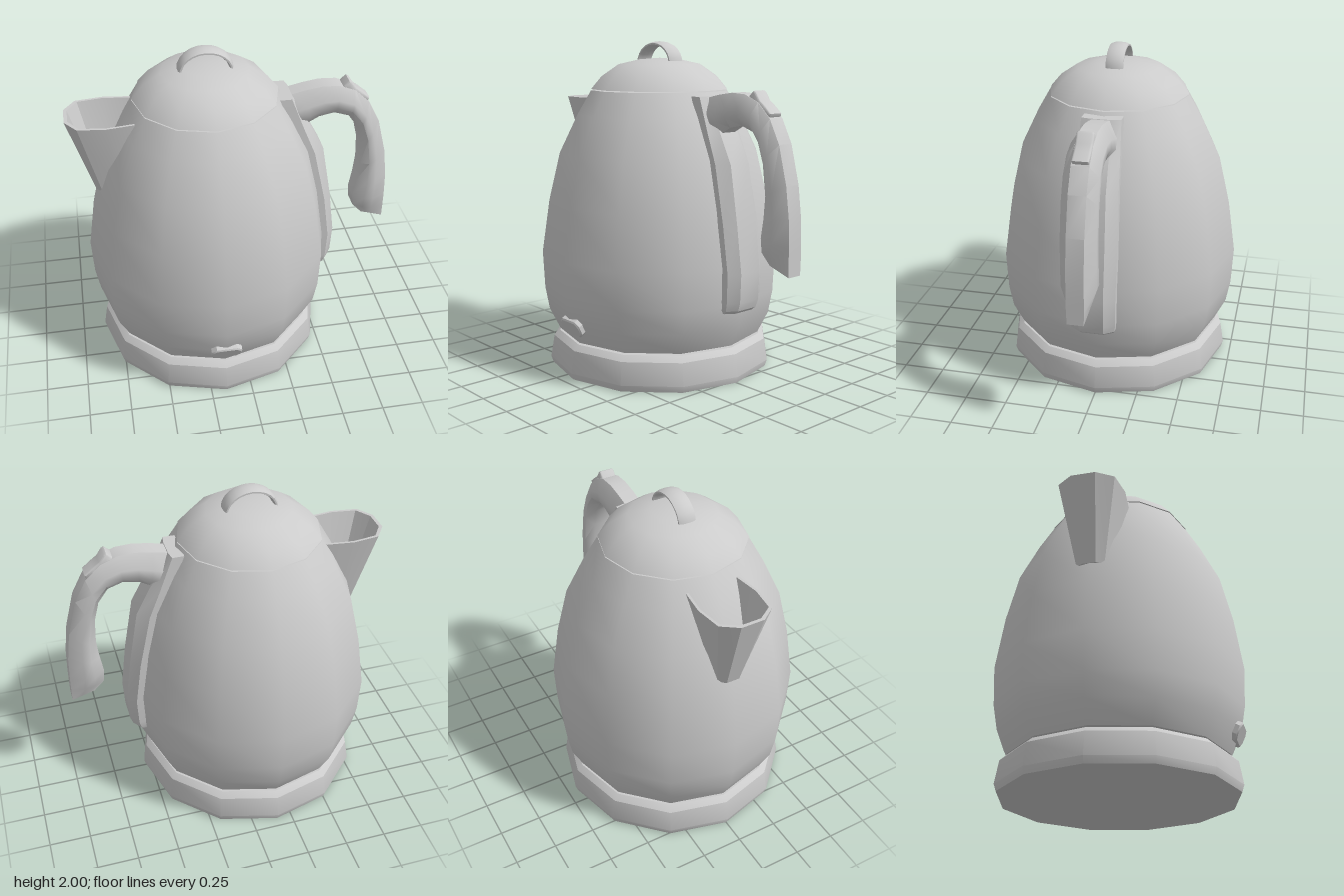
import * as THREE from 'three';
import { toCreasedNormals } from 'three/addons/utils/BufferGeometryUtils.js';

const CX = -0.157; // axis of the kettle body
const material = new THREE.MeshStandardMaterial({ color: 0xcccccc });

function addMesh(group, name, geometry, crease = 0.7) {
  const mesh = new THREE.Mesh(toCreasedNormals(geometry, crease), material);
  mesh.name = name;
  group.add(mesh);
  return mesh;
}

// Twelve-sided turned part from [radius, y] pairs, listed bottom to top
function turned(profile) {
  const geometry = new THREE.LatheGeometry(profile.map(([r, y]) => new THREE.Vector2(r, y)), 12);
  return geometry.translate(CX, 0, 0);
}

// Skin over closed rings of [x, y, z] points, capped at both ends, facing outward
function loft(rings) {
  const n = rings[0].length;
  const last = (rings.length - 1) * n;
  const points = rings.flat().map((p) => new THREE.Vector3(...p));
  const index = [];
  for (let i = 0; i < rings.length - 1; i++) {
    for (let j = 0; j < n; j++) {
      const a = i * n + j, b = i * n + (j + 1) % n;
      index.push(a, b, b + n, a, b + n, a + n);
    }
  }
  for (let j = 1; j < n - 1; j++) {
    index.push(0, j + 1, j, last, last + j, last + j + 1);
  }
  // A negative volume means the faces point inward
  let volume = 0;
  for (let i = 0; i < index.length; i += 3) {
    const [a, b, c] = index.slice(i, i + 3).map((k) => points[k]);
    volume += a.dot(b.clone().cross(c));
  }
  if (volume < 0) index.reverse();
  const geometry = new THREE.BufferGeometry().setFromPoints(points);
  geometry.setIndex(index);
  return geometry;
}

function buildSpout() {
  // One side of the lip: top x, top z, bottom x, bottom z, wall offset x, wall offset z
  const side = [
    [-0.58, 0.165, -0.58, 0.09, 0, 0.015],
    [-0.74, 0.185, -0.7, 0.09, 0, 0.015],
    [-0.9, 0.165, -0.79, 0.08, -0.012, 0.015],
    [-0.968, 0.07, -0.825, 0.04, -0.02, 0.008],
  ];
  const ring = ([tx, tz, bx, bz, ox, oz], s) => [
    [tx, 1.64, s * tz],
    [tx - ox, 1.64, s * (tz - oz)],
    [bx - ox, 1.15, s * (bz - oz)],
    [bx, 1.15, s * bz],
  ];
  const mirrored = [...side].reverse();
  return loft([...side.map((p) => ring(p, 1)), ...mirrored.map((p) => ring(p, -1))]);
}

function buildHandlePlate() {
  // y, x of the side edges, x of the raised middle, half width
  const rows = [
    [1.685, 0.325, 0.335, 0.115], [1.48, 0.405, 0.45, 0.125], [1.31, 0.475, 0.54, 0.132],
    [0.97, 0.55, 0.6, 0.14], [0.69, 0.588, 0.636, 0.138], [0.52, 0.58, 0.627, 0.134],
    [0.47, 0.568, 0.61, 0.13], [0.45, 0.55, 0.585, 0.12],
  ];
  return loft(rows.map(([y, xs, xm, w]) => [
    [xs - 0.07, y, -w], [xs, y, -w], [xm, y, -w * 0.55],
    [xm, y, w * 0.55], [xs, y, w], [xs - 0.07, y, w],
  ]));
}

function buildHandle() {
  // Outer x, y, inner x, y, half width
  const rows = [
    [0.33, 1.68, 0.41, 1.47, 0.1], [0.42, 1.7, 0.45, 1.485, 0.1], [0.52, 1.715, 0.51, 1.518, 0.1],
    [0.62, 1.71, 0.6, 1.535, 0.1], [0.72, 1.67, 0.69, 1.505, 0.1], [0.81, 1.585, 0.75, 1.42, 0.1],
    [0.88, 1.45, 0.78, 1.3, 0.1], [0.937, 1.23, 0.787, 1.15, 0.1], [0.96, 1.05, 0.775, 1.03, 0.1],
    [0.965, 0.9, 0.757, 0.92, 0.1], [0.965, 0.81, 0.765, 0.84, 0.073], [0.965, 0.73, 0.825, 0.775, 0.047],
  ];
  return loft(rows.map(([ox, oy, ix, iy, w]) => {
    const at = (t, z) => [ox + (ix - ox) * t, oy + (iy - oy) * t, z];
    const f = Math.min(w, 0.05);
    return [at(0, f), at(0.42, w), at(0.7, w), at(1, f), at(1, -f), at(0.7, -w), at(0.42, -w), at(0, -f)];
  }));
}

function buildLidLoop() {
  // Flat rounded band bent into an arch
  const rings = [];
  for (let i = 0; i <= 12; i++) {
    const a = Math.PI * i / 12;
    const ring = [];
    for (let j = 0; j < 10; j++) {
      const b = 2 * Math.PI * j / 10;
      const r = 0.015 * Math.cos(b);
      ring.push([CX + (0.148 + r) * Math.cos(a), 1.865 + (0.12 + r) * Math.sin(a), 0.055 * Math.sin(b)]);
    }
    rings.push(ring);
  }
  return loft(rings);
}

function outline(points) {
  return new THREE.Shape(points.map(([x, y]) => new THREE.Vector2(x, y)));
}

export function createModel() {
  const group = new THREE.Group();

  // Heating base
  addMesh(group, 'base', turned([
    [0, 0], [0.69, 0], [0.703, 0.04], [0.68, 0.175], [0.645, 0.207], [0, 0.207],
  ]), 0.6);

  // Vessel and lid, with a fine seam between them
  addMesh(group, 'body', turned([
    [0, 0.218], [0.64, 0.218], [0.705, 0.35], [0.73, 0.49], [0.74, 0.72], [0.692, 1.04],
    [0.622, 1.33], [0.51, 1.56], [0.425, 1.706], [0, 1.706],
  ]));
  addMesh(group, 'lid', turned([
    [0, 1.713], [0.425, 1.713], [0.36, 1.79], [0.255, 1.862], [0.13, 1.89], [0, 1.9],
  ]));
  addMesh(group, 'lidLoop', buildLidLoop(), 0.9);

  // Pouring spout on the right side
  addMesh(group, 'spout', buildSpout(), 0.3);

  // Handle on the left side with its mounting plate and lid release
  addMesh(group, 'handlePlate', buildHandlePlate(), 0.5);
  addMesh(group, 'handle', buildHandle(), 0.85);
  const release = new THREE.ExtrudeGeometry(outline([
    [0.64, 1.69], [0.65, 1.705], [0.68, 1.732], [0.695, 1.725], [0.725, 1.68], [0.765, 1.65],
    [0.81, 1.612], [0.805, 1.595], [0.77, 1.56], [0.69, 1.6],
  ]), { depth: 0.07, bevelThickness: 0.012, bevelSize: 0.006, bevelOffset: -0.006, bevelSegments: 2 });
  addMesh(group, 'releaseButton', release.translate(0, 0, -0.035));

  // Power switch on the front, tilted with the wall
  const w = 0.092, h = 0.056, c = 0.03;
  const switchShape = outline([
    [-w, -h + c], [-w + c, -h], [w - c, -h], [w, -h + c],
    [w, h - c], [w - c, h], [-w + c, h], [-w, h - c],
  ]);
  const power = addMesh(group, 'powerSwitch', new THREE.ExtrudeGeometry(switchShape, {
    depth: 0.04, bevelThickness: 0.008, bevelSize: 0.008, bevelOffset: -0.008, bevelSegments: 1,
  }));
  power.position.set(CX, 0.342, 0.66);
  power.rotation.x = 0.44;

  return group;
}
